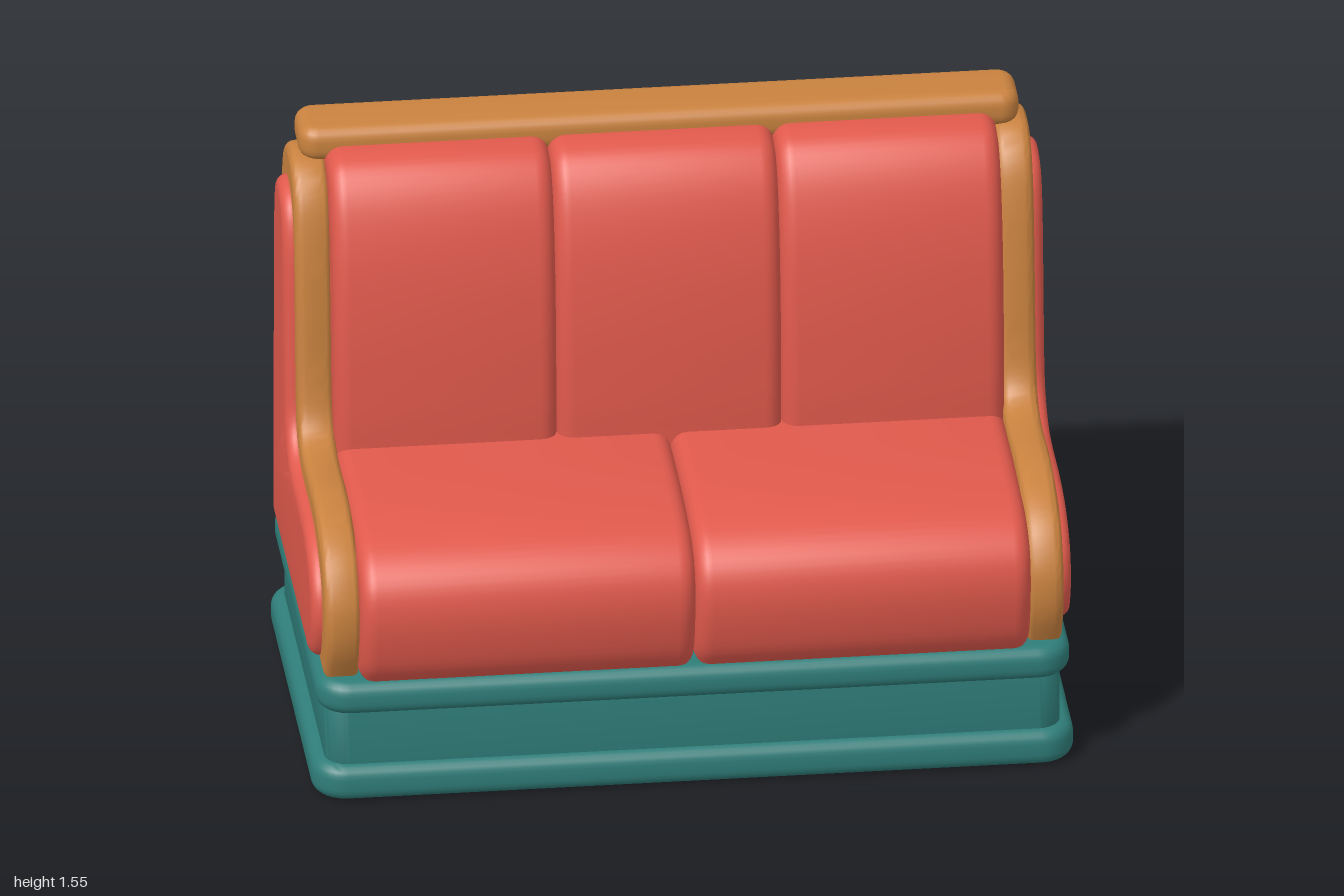
import * as THREE from 'three';
import { toCreasedNormals } from 'three/addons/utils/BufferGeometryUtils.js';

const mat = (name, color) => {
  const m = new THREE.MeshStandardMaterial({ color });
  m.name = name;
  return m;
};

// Outline in (z, y): a smooth curve followed by straight segments
function outline(curve, lines) {
  const v = (p) => new THREE.Vector2(p[0], p[1]);
  const s = new THREE.Shape();
  s.moveTo(curve[0][0], curve[0][1]);
  s.splineThru(curve.slice(1).map(v));
  lines.forEach((p) => s.lineTo(p[0], p[1]));
  return s;
}

function extrude(shape, depth, bevel) {
  return new THREE.ExtrudeGeometry(shape, {
    depth: depth - 2 * bevel, curveSegments: 4, bevelEnabled: true,
    bevelSize: bevel, bevelThickness: bevel, bevelOffset: -bevel, bevelSegments: 5,
  });
}

// Soft-edged solid with a (z, y) outline running from x0 to x1
function crossPiece(shape, x0, x1, bevel) {
  const g = extrude(shape, x1 - x0, bevel);
  g.rotateY(-Math.PI / 2);
  g.translate(x1 - bevel, 0, 0);
  return toCreasedNormals(g, 0.7);
}

// Soft-edged slab with rounded corners in plan
function slab(hx, z0, z1, y0, y1, r, bevel) {
  const s = new THREE.Shape();
  s.moveTo(-hx + r, -z1);
  s.lineTo(hx - r, -z1);
  s.absarc(hx - r, -z1 + r, r, -Math.PI / 2, 0);
  s.absarc(hx - r, -z0 - r, r, 0, Math.PI / 2);
  s.absarc(-hx + r, -z0 - r, r, Math.PI / 2, Math.PI);
  s.absarc(-hx + r, -z1 + r, r, Math.PI, Math.PI * 1.5);
  const g = extrude(s, y1 - y0, bevel);
  g.rotateX(-Math.PI / 2);
  g.translate(0, y0 + bevel, 0);
  return toCreasedNormals(g, 0.7);
}

export function createModel() {
  const group = new THREE.Group();
  const red = mat('red upholstery', 0xe0594c);
  const wood = mat('wood trim', 0xc9823f);
  const teal = mat('teal base', 0x2f7d79);
  const add = (name, geometry, material) => {
    const m = new THREE.Mesh(geometry, material);
    m.name = name;
    group.add(m);
  };

  // Plinth: two rounded mouldings around a recessed core
  add('baseMoulding', slab(1.0, -0.57, 0.53, 0, 0.1, 0.09, 0.035), teal);
  add('baseCore', slab(0.965, -0.54, 0.5, 0.05, 0.29, 0.06, 0.01), teal);
  add('baseTopMoulding', slab(0.99, -0.57, 0.53, 0.25, 0.342, 0.09, 0.035), teal);

  // Seat cushions
  const seat = outline([
    [0.5, 0.335], [0.545, 0.4], [0.57, 0.53], [0.55, 0.63], [0.48, 0.695],
    [0.37, 0.725], [0.2, 0.738], [0, 0.738], [-0.2, 0.735],
  ], [[-0.35, 0.735], [-0.35, 0.335]]);
  for (let i = 0; i < 2; i++) {
    add('seatCushion', crossPiece(seat, -0.88 + i * 0.88, i * 0.88, 0.045), red);
  }

  // Backrest cushions
  const back = outline([
    [-0.05, 0.74], [-0.05, 0.85], [-0.06, 1.05], [-0.085, 1.24], [-0.13, 1.39],
    [-0.19, 1.475], [-0.26, 1.502], [-0.34, 1.5],
  ], [[-0.45, 1.48], [-0.45, 0.6], [-0.05, 0.6]]);
  [-0.88, -0.295, 0.295].forEach((x, i) => {
    add('backCushion', crossPiece(back, x, [-0.295, 0.295, 0.88][i], 0.045), red);
  });

  // Upholstered rear panel
  const rear = outline([
    [-0.54, 1.3], [-0.532, 1.37], [-0.505, 1.425], [-0.46, 1.46], [-0.4, 1.475],
  ], [[-0.3, 1.475], [-0.3, 0.335], [-0.54, 0.335]]);
  add('rearPanel', crossPiece(rear, -0.885, 0.885, 0.02), red);

  // Wooden end frames with padded outer panels
  const frame = outline([
    [0.465, 0.335], [0.505, 0.42], [0.518, 0.5], [0.505, 0.58], [0.45, 0.665],
    [0.35, 0.72], [0.2, 0.748], [0.03, 0.742], [-0.06, 0.755], [-0.11, 0.8],
    [-0.135, 0.9], [-0.155, 1.1], [-0.18, 1.28], [-0.215, 1.39], [-0.28, 1.455],
    [-0.36, 1.47], [-0.44, 1.452], [-0.495, 1.4], [-0.52, 1.32], [-0.527, 1.2],
  ], [[-0.535, 0.335]]);
  const panel = outline([
    [0.34, 0.348], [0.4, 0.375], [0.435, 0.44], [0.443, 0.51], [0.42, 0.58],
    [0.36, 0.635], [0.27, 0.672], [0.15, 0.685], [-0.02, 0.686], [-0.11, 0.71],
    [-0.165, 0.775], [-0.185, 0.92], [-0.2, 1.1], [-0.22, 1.26], [-0.26, 1.35],
    [-0.34, 1.386], [-0.41, 1.37], [-0.45, 1.3], [-0.46, 1.15],
  ], [[-0.478, 0.5], [-0.478, 0.38], [-0.455, 0.348]]);
  for (const s of [1, -1]) {
    const span = (a, b) => (s > 0 ? [a, b] : [-b, -a]);
    const side = s > 0 ? 'left' : 'right';
    add(side + 'EndFrame', crossPiece(frame, ...span(0.875, 0.97), 0.025), wood);
    add(side + 'EndPanel', crossPiece(panel, ...span(0.9, 0.998), 0.03), red);
  }

  // Wooden rail along the top
  add('topRail', slab(0.945, -0.47, -0.29, 1.455, 1.55, 0.05, 0.035), wood);

  return group;
}
